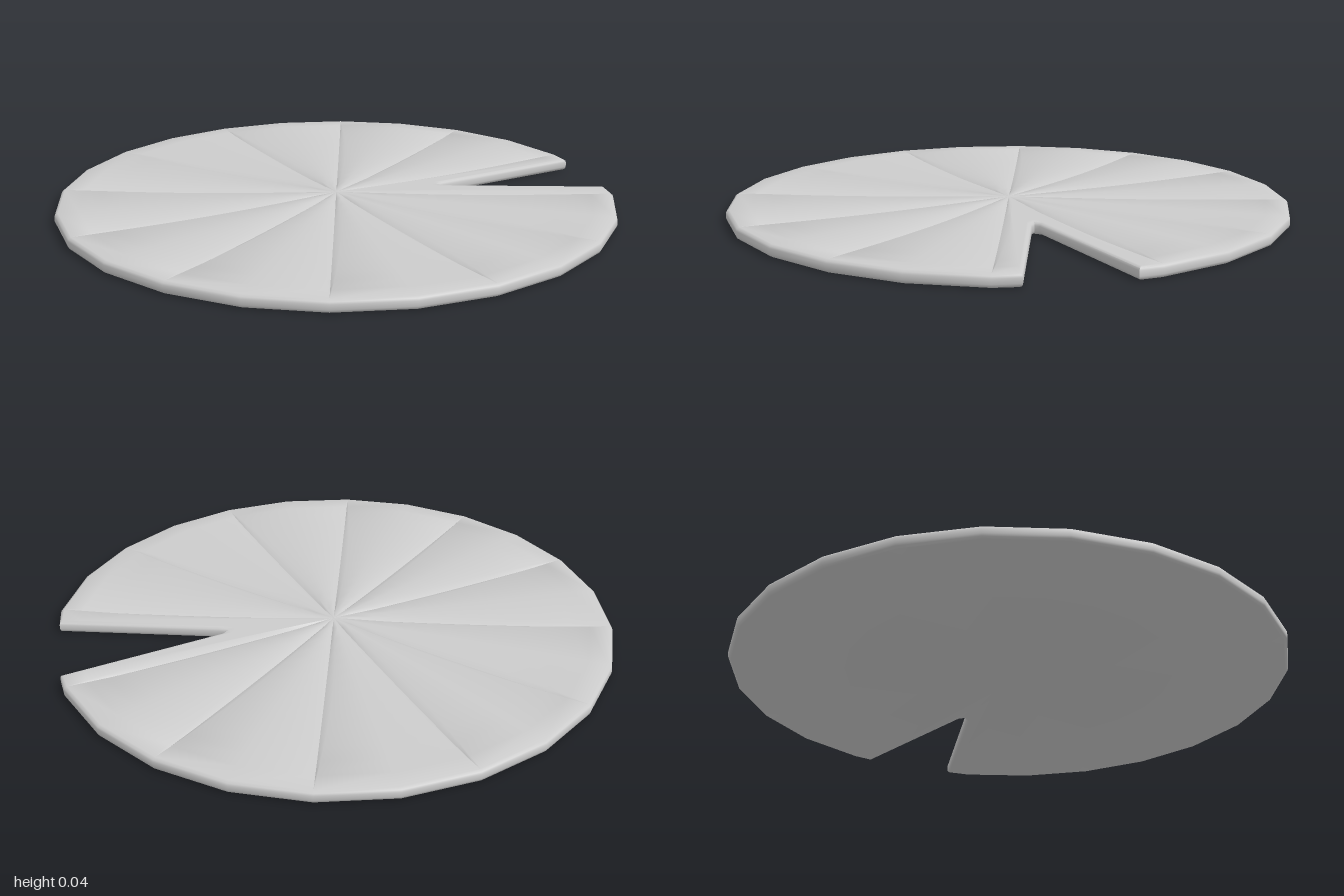
import * as THREE from 'three';
import { toCreasedNormals } from 'three/addons/utils/BufferGeometryUtils.js';

const HEIGHT = 0.042, BEVEL = 0.012, RINGS = 14;

// Outline of the leaf seen from above: 23 rim corners, then the notch
function leafOutline() {
  const rim = [];
  for (let k = 0; k < 23; k++) {
    const a = THREE.MathUtils.degToRad(11.3 + 15 * k);
    rim.push({ x: Math.cos(a), z: -Math.sin(a), vein: k % 2 === 0 });
  }
  const notch = [[0.96, 0.23], [0.415, 0.038], [0.393, 0.022], [0.41, 0.009], [0.985, -0.115]];
  for (const [x, z] of notch) rim.push({ x, z, vein: false });
  return rim;
}

// Outline moved inwards by a distance and placed at height y
function insetLoop(rim, distance, y) {
  const n = rim.length;
  return rim.map((p, i) => {
    const a = rim[(i + n - 1) % n], b = rim[(i + 1) % n];
    const d1 = new THREE.Vector2(p.x - a.x, p.z - a.z).normalize();
    const d2 = new THREE.Vector2(b.x - p.x, b.z - p.z).normalize();
    const t = d1.add(d2).normalize();
    return new THREE.Vector3(p.x + t.y * distance, y, p.z - t.x * distance);
  });
}

function leafGeometry() {
  const positions = [];
  const tri = (a, b, c) => positions.push(...a.toArray(), ...b.toArray(), ...c.toArray());
  const band = (low, high) => low.forEach((p, i) => {
    const j = (i + 1) % low.length;
    tri(p, low[j], high[j]);
    tri(p, high[j], high[i]);
  });

  // Rounded edge and flat underside
  const rim = leafOutline();
  const loops = [[BEVEL, 0], [0.003, 0.005], [0, 0.013], [0, 0.03], [0.003, 0.037], [BEVEL, HEIGHT]]
    .map(([inset, y]) => insetLoop(rim, inset, y));
  for (let i = 0; i + 1 < loops.length; i++) band(loops[i], loops[i + 1]);
  const bottom = loops[0], under = new THREE.Vector3();
  bottom.forEach((p, i) => tri(under, bottom[(i + 1) % bottom.length], p));

  // Top: spokes from the centre, three for each vein so that it forms a groove
  const spokes = [];
  loops.at(-1).forEach((p, i) => {
    for (const side of rim[i].vein ? [-1, 0, 1] : [0]) spokes.push({ p, side, vein: rim[i].vein });
  });
  const ring = (t) => spokes.map(({ p, side, vein }) => {
    const swell = Math.sin(Math.PI * Math.min(t, 1));
    const w = side * 0.026 * swell;
    const depth = vein && side === 0 ? 0.012 * Math.sqrt(Math.max(swell, 0)) : 0;
    return new THREE.Vector3(p.x * t + p.z * w, HEIGHT - (t < 1 ? depth : 0), p.z * t - p.x * w);
  });
  const centre = new THREE.Vector3(0, HEIGHT, 0);
  let inner = ring(1 / RINGS);
  inner.forEach((p, i) => tri(centre, p, inner[(i + 1) % inner.length]));
  for (let r = 2; r <= RINGS; r++) {
    const outer = ring(r / RINGS);
    band(outer, inner);
    inner = outer;
  }

  const geometry = new THREE.BufferGeometry();
  geometry.setAttribute('position', new THREE.Float32BufferAttribute(positions, 3));
  return toCreasedNormals(geometry, 0.8);
}

export function createModel() {
  const group = new THREE.Group();
  group.name = 'lilyPad';
  const leaf = new THREE.Mesh(leafGeometry(), new THREE.MeshStandardMaterial({ color: 0xcccccc }));
  leaf.name = 'leaf';
  group.add(leaf);
  return group;
}
